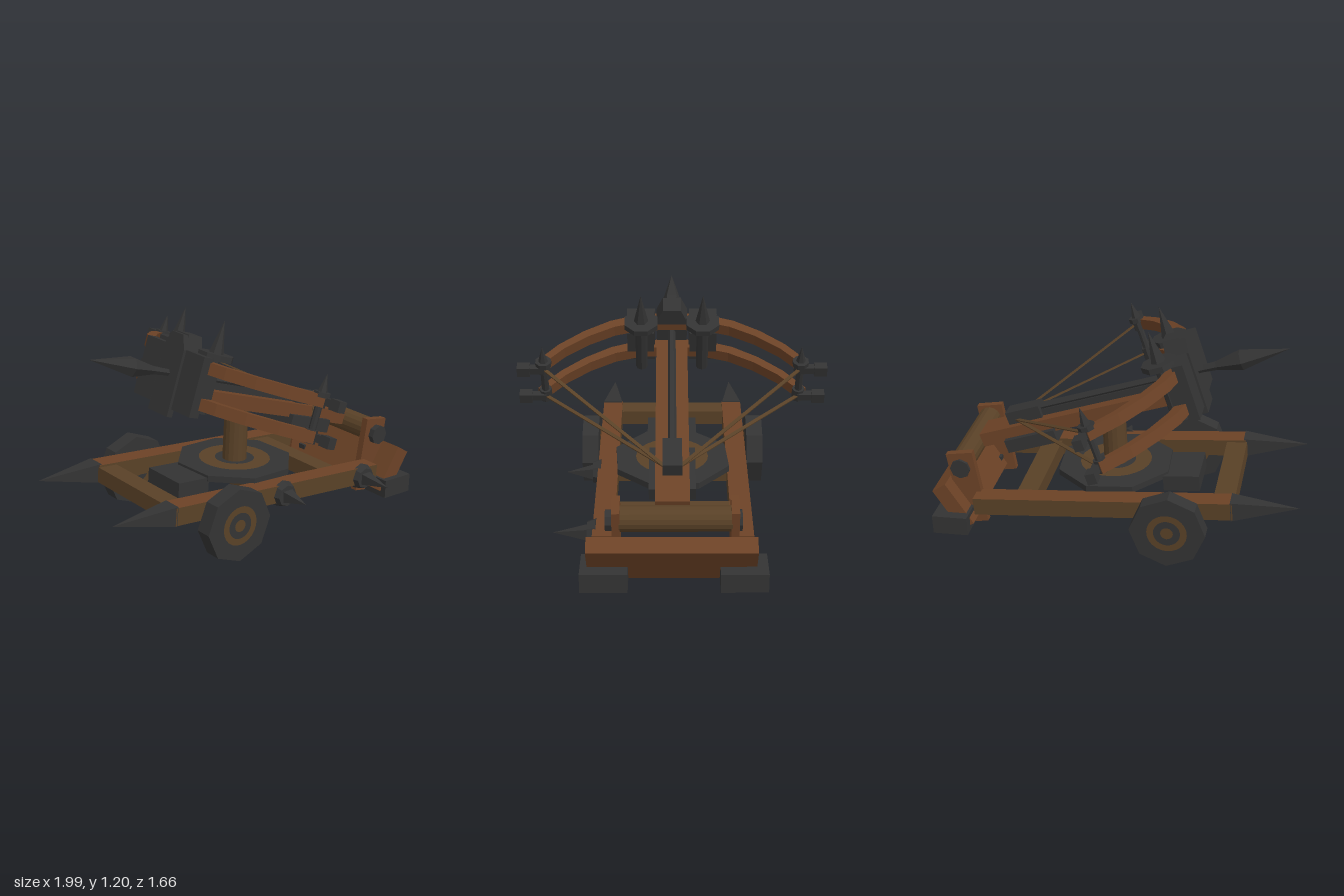
import * as THREE from 'three';

const mat = (name, color, side = THREE.FrontSide) => {
  const m = new THREE.MeshStandardMaterial({ color, side });
  m.name = name;
  m.flatShading = true;
  return m;
};

export function createModel() {
  const wood = mat('warm wood', 0x6c4226);
  const aged = mat('aged wood', 0x594127, THREE.DoubleSide);
  const iron = mat('dark iron', 0x333333);
  const root = new THREE.Group();
  root.name = 'siegeBow';

  const add = (parent, name, geo, material, pos = [0, 0, 0], rot = [0, 0, 0]) => {
    const m = new THREE.Mesh(geo, material);
    m.name = name;
    m.position.set(...pos);
    m.rotation.set(...rot);
    parent.add(m);
    return m;
  };
  const box = (p, name, material, size, pos, rz = 0) =>
    add(p, name, new THREE.BoxGeometry(...size), material, pos, [0, 0, rz]);
  const cyl = (p, name, material, rTop, rBottom, h, sides, pos, rot) =>
    add(p, name, new THREE.CylinderGeometry(rTop, rBottom, h, sides), material, pos, rot);
  const group = (name, pos, rz = 0) => {
    const g = new THREE.Group();
    g.name = name;
    g.position.set(...pos);
    g.rotation.z = rz;
    root.add(g);
    return g;
  };
  const AXIS_Z = [Math.PI / 2, 0, 0];

  // Sloping base frame: rails with pointed iron tips, joined by cross beams
  const frame = group('frame', [0, 0.256, 0], -0.09);
  const railFaces = [wood, wood, wood, aged, aged, aged];
  for (const s of [1, -1]) {
    box(frame, 'rail', railFaces, [1.42, 0.098, 0.112], [0.06, 0, s * 0.355 - 0.003]);
    const tip = new THREE.ConeGeometry(0.077, 0.36, 4).rotateY(Math.PI / 4).rotateZ(Math.PI / 2);
    add(frame, 'railTip', tip, iron, [-0.82, 0, s * 0.357 - 0.003]);
  }
  for (const x of [-0.6, 0.04, 0.49]) box(frame, 'crossBeam', aged, [0.115, 0.085, 0.62], [x, -0.005, 0]);
  box(frame, 'frontBlock', iron, [0.2, 0.09, 0.28], [-0.34, 0.01, 0]);

  // Studs with spikes on one rail
  for (const [x, y, len] of [[0.07, 0.245, 0.15], [0.655, 0.192, 0.18]]) {
    cyl(root, 'studCollar', iron, 0.06, 0.077, 0.045, 8, [x, y, 0.415], AXIS_Z);
    cyl(root, 'studSpike', iron, 0, 0.045, len, 4, [x, y, 0.435 + len / 2], [Math.PI / 2, Math.PI / 4, 0]);
  }

  // Octagonal wheels with painted rings on both faces
  for (const s of [1, -1]) {
    const wheel = group('wheel', [-0.318, 0.21, s * 0.468 - 0.003]);
    cyl(wheel, 'wheelDisc', iron, 0.204, 0.204, 0.092, 8, [0, 0, 0], AXIS_Z);
    for (const f of [1, -1]) {
      const rot = [0, f > 0 ? 0 : Math.PI, 0];
      add(wheel, 'wheelRing', new THREE.RingGeometry(0.072, 0.108, 24), aged, [0, 0, f * 0.049], rot);
      add(wheel, 'wheelHub', new THREE.CircleGeometry(0.034, 16), aged, [0, 0, f * 0.049], rot);
    }
  }

  // Turntable and post
  const table = group('turntable', [0.05, 0.315, 0], -0.05);
  cyl(table, 'tableDisc', iron, 0.33, 0.33, 0.035, 8, [0, 0, 0], [0, Math.PI / 8 + 0.06, 0]);
  add(table, 'tableRing', new THREE.RingGeometry(0.11, 0.2, 24), aged, [0, 0.021, 0], [-Math.PI / 2, 0, 0]);
  cyl(table, 'post', aged, 0.066, 0.068, 0.37, 16, [0, 0.18, 0]);

  // Rear end: leaning posts, winch roller, tail board and feet
  box(root, 'tailBoard', wood, [0.275, 0.09, 0.85], [0.882, 0.175, 0.003], 0.993);
  for (const s of [1, -1]) {
    box(root, 'winchPost', wood, [0.15, 0.43, 0.04], [0.825, 0.252, s * 0.295 - 0.015], -0.17);
    cyl(root, 'rollerCap', iron, 0.056, 0.056, 0.035, 8, [0.855, 0.374, s * 0.322 - 0.006], AXIS_Z);
    box(root, 'foot', iron, [0.195, 0.105, 0.24], [0.888, 0.09, s * 0.351 - 0.008], -0.03);
  }
  cyl(root, 'winchRoller', aged, 0.066, 0.066, 0.56, 16, [0.86, 0.386, -0.015], AXIS_Z);

  // Tilted weapon: local x runs down the slope, y stands on the stock
  const arm = group('weapon', [0, 0.696, 0], -0.33);
  box(arm, 'stock', wood, [1.25, 0.08, 0.175], [0.225, 0, 0]);
  box(arm, 'boltChannel', iron, [0.76, 0.04, 0.044], [0.1, 0.058, 0]);
  box(arm, 'triggerBlock', iron, [0.2, 0.075, 0.1], [0.573, 0.075, 0]);
  box(arm, 'stockBracket', iron, [0.3, 0.075, 0.24], [0.56, -0.058, 0]);

  // Bolt with a long faceted head
  const boltProfile = [[0, -0.48], [0.022, -0.48], [0.02, 0.48], [0.024, 0.55], [0.056, 0.69], [0, 0.952]]
    .map(([r, y]) => new THREE.Vector2(r, y));
  add(arm, 'bolt', new THREE.LatheGeometry(boltProfile, 6), iron, [0, 0.09, 0], [0, 0, Math.PI / 2]);

  // Front shield: chamfered centre plate and hub, flanked by side blocks
  const chamfered = (bottom, shoulder, top, depth) => {
    const outline = [[-0.085, bottom], [0.085, bottom], [0.085, shoulder], [0.05, top], [-0.05, top], [-0.085, shoulder]];
    const shape = new THREE.Shape(outline.map(([x, y]) => new THREE.Vector2(x, y)));
    return new THREE.ExtrudeGeometry(shape, { depth, bevelEnabled: false }).rotateY(Math.PI / 2);
  };
  add(arm, 'centrePlate', chamfered(-0.13, 0.23, 0.305, 0.035), iron, [-0.45, 0, 0]);
  add(arm, 'topHub', chamfered(0.213, 0.23, 0.31, 0.09), iron, [-0.415, 0, 0]);
  for (const s of [1, -1]) {
    box(arm, 'sideBlock', iron, [0.06, 0.32, 0.155], [-0.412, 0.075, s * 0.173]);
    box(arm, 'limbClamp', iron, [0.07, 0.13, 0.15], [-0.36, 0.085, s * 0.175]);
  }

  // Bow limbs: a tapered band along a curve, one above the other
  const half = [[-0.392, 0.08], [-0.378, 0.2], [-0.335, 0.33], [-0.25, 0.47], [-0.14, 0.6], [0, 0.715]];
  const path = [...half.map(([u, z]) => [u, -z]).reverse(), ...half];
  const edge = side => path.map(([u, z], i) => {
    const a = path[Math.max(i - 1, 0)], b = path[Math.min(i + 1, path.length - 1)];
    const d = new THREE.Vector2(b[0] - a[0], b[1] - a[1]).normalize();
    const w = side * (0.037 - 0.016 * Math.abs(z) / 0.7);
    return new THREE.Vector2(u + d.y * w, z - d.x * w);
  });
  const bowShape = new THREE.Shape([...edge(1), ...edge(-1).reverse()]);
  const bowGeo = new THREE.ExtrudeGeometry(bowShape, { depth: 0.064, bevelEnabled: false })
    .rotateX(Math.PI / 2).translate(0, 0.032, 0);
  const levels = [0.18, -0.01];
  for (const v of levels) add(arm, 'bowLimb', bowGeo, wood, [0, v, 0]);

  // A rod with a collar and a spike on top
  const spikedRod = (name, u, z, low, high, r, collar, collarH, spikeR, tip) => {
    cyl(arm, name + 'Rod', iron, r, r, high - low, 8, [u, (low + high) / 2, z]);
    cyl(arm, name + 'Collar', iron, collar, collar, collarH, 8, [u, high, z], [0, Math.PI / 8, 0]);
    const base = high + collarH / 2;
    cyl(arm, name + 'Spike', iron, 0, spikeR, tip - base, 6, [u, (tip + base) / 2, z]);
  };

  // Flat string from a limb tip to the trigger
  const up = new THREE.Vector3(0, 1, 0);
  const string = (from, to) => {
    const a = new THREE.Vector3(...from), b = new THREE.Vector3(...to);
    const geo = new THREE.BoxGeometry(0.02, 0.006, a.distanceTo(b));
    geo.applyMatrix4(new THREE.Matrix4().lookAt(b, a, up));
    add(arm, 'bowString', geo, aged, a.add(b).multiplyScalar(0.5).toArray());
  };

  for (const s of [1, -1]) {
    spikedRod('root', -0.305, s * 0.17, -0.07, 0.24, 0.033, 0.098, 0.032, 0.04, 0.43);
    spikedRod('tip', -0.004, s * 0.69, -0.035, 0.21, 0.02, 0.045, 0.026, 0.026, 0.32);
    for (const v of levels) {
      cyl(arm, 'limbTipCollar', iron, 0.034, 0.034, 0.07, 8, [-0.006, v, s * 0.69]);
      box(arm, 'limbTipStub', iron, [0.036, 0.04, 0.09], [0.015, v, s * 0.73]);
      box(arm, 'limbTipBlock', iron, [0.05, 0.058, 0.068], [0.018, v, s * 0.796]);
      string([0.01, v, s * 0.69], [0.62, 0.06, s * 0.045]);
    }
  }
  return root;
}
